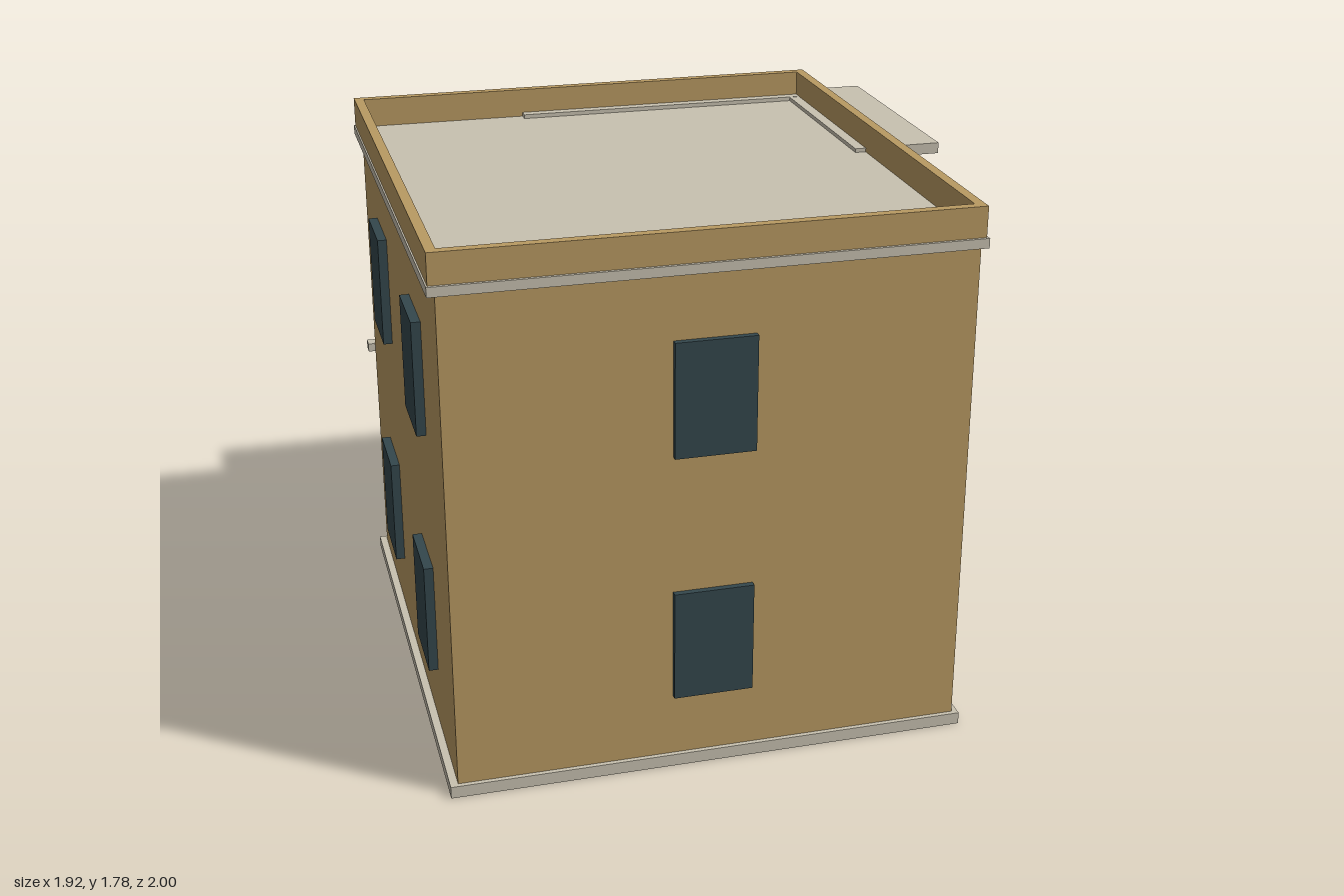
import * as THREE from 'three';

const material = (name, color) => {
  const m = new THREE.MeshStandardMaterial({ color });
  m.name = name;
  return m;
};

export function createModel() {
  const wall = material('ochre wall', 0xb99a62);
  const stone = material('pale stone', 0xc8c1b0);
  const pane = material('dark window', 0x34474d);
  const glass = material('green glass', 0x395c50);
  const bar = material('dark glazing bar', 0x22302e);
  const metal = material('green railing', 0x33564b);

  const house = new THREE.Group();
  house.name = 'house';

  // Box given by its lower and upper limits on each axis
  function box(name, mat, [x0, x1], [y0, y1], [z0, z1], parent = house) {
    const mesh = new THREE.Mesh(new THREE.BoxGeometry(x1 - x0, y1 - y0, z1 - z0), mat);
    mesh.position.set((x0 + x1) / 2, (y0 + y1) / 2, (z0 + z1) / 2);
    mesh.name = name;
    parent.add(mesh);
    return mesh;
  }

  // Body, plinth, cornice with roof deck, and the band on the back wall
  box('walls', wall, [-0.93, 0.71], [0.04, 1.655], [-0.74, 0.98]);
  box('plinth', stone, [-0.955, 0.73], [0, 0.04], [-0.76, 0.995]);
  box('corniceAndRoof', stone, [-0.955, 0.73], [1.652, 1.683], [-0.765, 0.995]);
  box('backBand', stone, [-0.955, 0.7], [0.822, 0.852], [-0.785, -0.74]);

  // Parapet as an open rectangular ring
  const ring = new THREE.Shape();
  ring.moveTo(-0.95, -0.985).lineTo(0.724, -0.985).lineTo(0.724, 0.763).lineTo(-0.95, 0.763).closePath();
  const hole = new THREE.Path();
  hole.moveTo(-0.918, -0.953).lineTo(-0.918, 0.731).lineTo(0.692, 0.731).lineTo(0.692, -0.953).closePath();
  ring.holes.push(hole);
  const parapet = new THREE.Mesh(
    new THREE.ExtrudeGeometry(ring, { depth: 0.1, bevelEnabled: false }), wall);
  parapet.rotation.x = -Math.PI / 2;
  parapet.position.y = 1.681;
  parapet.name = 'parapet';
  house.add(parapet);

  // Canopies
  box('backCanopy', stone, [-0.35, 0.72], [1.66, 1.697], [-1, -0.695]);
  box('sideCanopy', stone, [0.655, 0.957], [1.659, 1.696], [-0.795, 0.025]);

  // Balcony slabs and columns
  box('backBalcony', stone, [-0.315, 0.7], [0.82, 0.855], [-1, -0.73]);
  box('sideBalcony', stone, [0.7, 0.955], [0.82, 0.855], [-0.75, -0.01]);
  for (const x of [-0.28, 0.66]) {
    box('column', stone, [x - 0.016, x + 0.016], [0.855, 1.66], [-0.98, -0.948]);
  }

  // Railings follow a path of [x, z] points, with posts at the free corners
  function railing(name, path) {
    const group = new THREE.Group();
    group.name = name;
    const t = 0.007, p = 0.009;
    path.forEach(([x, z], i) => {
      if (i > 0 && i < path.length - 1) {
        box('post', metal, [x - p, x + p], [0.85, 1.06], [z - p, z + p], group);
      }
      if (i === 0) return;
      const [px, pz] = path[i - 1];
      for (const y of [0.92, 1.05]) {
        box('rail', metal, [Math.min(x, px) - t, Math.max(x, px) + t], [y - t, y + t],
          [Math.min(z, pz) - t, Math.max(z, pz) + t], group);
      }
    });
    house.add(group);
  }
  railing('backRailing', [[-0.3, -0.74], [-0.3, -0.983], [0.685, -0.983], [0.685, -0.74]]);
  railing('sideRailing', [[0.71, -0.74], [0.937, -0.74], [0.937, -0.02], [0.71, -0.02]]);

  // Plain windows on the front and both sides, on two floors
  for (const [y0, y1] of [[0.25, 0.618], [1.075, 1.447]]) {
    box('frontWindow', pane, [-0.24, 0.015], [y0, y1], [0.98, 1]);
    for (const [z0, z1] of [[0.388, 0.637], [-0.403, -0.154]]) {
      box('leftWindow', pane, [0.71, 0.734], [y0, y1], [z0, z1]);
      box('rightWindow', pane, [-0.96, -0.93], [y0, y1], [z0, z1]);
    }
  }

  // Framed back windows and door with a cross of glazing bars
  function backOpening(name, cx, y0, y1, frameBottom) {
    const group = new THREE.Group();
    group.name = name;
    const w = 0.153, f = 0.173;
    box('frame', stone, [cx - f, cx + f], [y0 - frameBottom, y1 + 0.02], [-0.757, -0.74], group);
    box('glass', glass, [cx - w, cx + w], [y0, y1], [-0.766, -0.75], group);
    const my = y0 + (y1 - y0) * 0.4, z = [-0.775, -0.76];
    box('uprightBar', bar, [cx - 0.008, cx + 0.008], [y0, y1], z, group);
    box('crossBar', bar, [cx - w, cx + w], [my - 0.008, my + 0.008], z, group);
    // Thin dark edging around the glass
    for (const s of [-1, 1]) {
      const x = cx + s * (w - 0.003);
      box('sideEdge', bar, [x - 0.003, x + 0.003], [y0, y1], z, group);
    }
    for (const y of [y0 + 0.003, y1 - 0.003]) {
      box('levelEdge', bar, [cx - w, cx + w], [y - 0.003, y + 0.003], z, group);
    }
    house.add(group);
  }
  for (const cx of [0.387, -0.118, -0.622]) {
    backOpening('upperBackWindow', cx, 1.035, 1.485, 0.025);
    if (cx > -0.5) backOpening('lowerBackWindow', cx, 0.215, 0.662, 0.025);
    else backOpening('backDoor', cx, 0.038, 0.662, 0);
  }

  return house;
}
